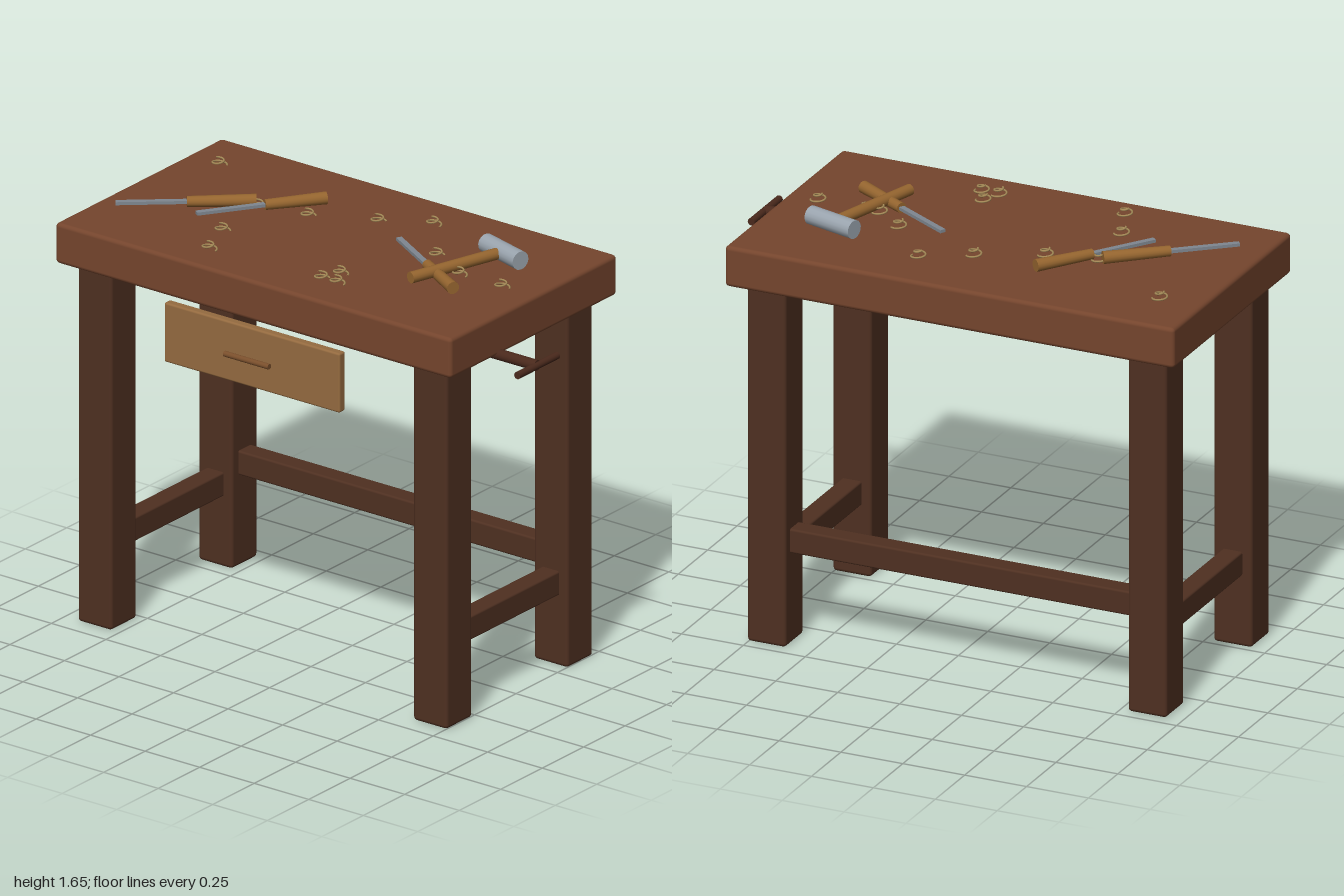
import * as THREE from 'three';
import { RoundedBoxGeometry } from 'three/addons/geometries/RoundedBoxGeometry.js';

const mat = (name, color) => {
  const m = new THREE.MeshStandardMaterial({ color });
  m.name = name;
  return m;
};

export function createModel() {
  const bench = new THREE.Group();
  bench.name = 'workbench';
  const topWood = mat('reddish top wood', 0x75452d);
  const darkWood = mat('dark frame wood', 0x4f3021);
  const drawerWood = mat('light drawer wood', 0x956b40);
  const handleWood = mat('tool handle wood', 0x95652f);
  const pullWood = mat('drawer pull wood', 0x7a4f2c);
  const viseWood = mat('vise wood', 0x4a291c);
  const steel = mat('pale steel', 0x9aa4ae);
  const blade = mat('blade steel', 0x7f8790);
  const shavingWood = mat('wood shaving', 0xa88c58);
  const V = (x, y, z) => new THREE.Vector3(x, y, z);

  const add = (name, geo, material, parent = bench) => {
    const m = new THREE.Mesh(geo, material);
    m.name = name;
    parent.add(m);
    return m;
  };

  // Softly bevelled board given by its minimum and maximum corners
  const board = (name, a, b, material, r = 0.014) => {
    const s = b.map((v, i) => v - a[i]);
    const m = add(name, new RoundedBoxGeometry(...s, 2, r), material);
    m.position.set(...b.map((v, i) => (v + a[i]) / 2));
    return m;
  };

  // Turned rod between two points
  const rod = (name, a, b, r, material, parent = bench, rEnd = r) => {
    const d = b.clone().sub(a);
    const m = add(name, new THREE.CylinderGeometry(rEnd, r, d.length(), 16), material, parent);
    m.position.copy(a).add(b).multiplyScalar(0.5);
    m.quaternion.setFromUnitVectors(V(0, 1, 0), d.normalize());
    return m;
  };

  // Table top
  board('tableTop', [-1, 1.42, -0.525], [0.815, 1.58, 0.48], topWood, 0.016);

  // Four legs and a low side rail between each pair
  for (const [side, x] of [['right', -0.86], ['left', 0.678]]) {
    for (const [end, z] of [['Front', 0.348], ['Back', -0.38]]) {
      board(side + end + 'Leg', [x - 0.078, 0, z - 0.078], [x + 0.078, 1.422, z + 0.078], darkWood);
    }
    board(side + 'Rail', [x - 0.04, 0.28, -0.32], [x + 0.04, 0.375, 0.29], darkWood, 0.008);
  }
  board('backRail', [-0.8, 0.362, -0.42], [0.62, 0.457, -0.34], darkWood, 0.008);

  // Drawer front with a round pull
  board('drawerFront', [-0.495, 1.16, 0.45], [0.31, 1.395, 0.486], drawerWood, 0.008);
  rod('drawerPull', V(-0.195, 1.278, 0.514), V(0.01, 1.278, 0.514), 0.011, pullWood);

  // Vise screw with its cross bar
  rod('viseScrew', V(0.78, 1.42, 0.182), V(0.985, 1.42, 0.182), 0.021, viseWood);
  rod('viseBar', V(0.985, 1.42, 0.062), V(0.985, 1.42, 0.302), 0.014, viseWood);

  // Chisels: [handle end x z, ferrule x z, tip x z]
  const chisels = [
    [-0.505, -0.085, -0.7, 0.078, -0.9, 0.245],
    [-0.315, -0.257, -0.455, -0.07, -0.605, 0.145],
    [0.567, 0.139, 0.358, 0.02, 0.128, -0.112],
  ];
  chisels.forEach(([ax, az, bx, bz, cx, cz], i) => {
    const chisel = new THREE.Group();
    chisel.name = 'chisel' + (i + 1);
    bench.add(chisel);
    const y = 1.606;
    rod('chiselHandle', V(ax, y, az), V(bx, y, bz), 0.024, handleWood, chisel, 0.02);
    const len = Math.hypot(cx - bx, cz - bz);
    const m = add('chiselBlade', new THREE.BoxGeometry(0.022, 0.012, len), blade, chisel);
    m.position.set((bx + cx) / 2, y, (bz + cz) / 2);
    m.rotation.y = Math.atan2(cx - bx, cz - bz);
  });

  // Mallet
  const mallet = new THREE.Group();
  mallet.name = 'mallet';
  bench.add(mallet);
  rod('malletHandle', V(0.396, 1.614, 0.171), V(0.514, 1.614, -0.215), 0.022, handleWood, mallet);
  rod('malletHead', V(0.417, 1.615, -0.257), V(0.62, 1.615, -0.198), 0.036, steel, mallet);

  // Curled wood shavings scattered on the top
  const curl = [];
  for (let i = 0; i <= 20; i++) {
    const t = i / 20, a = 0.3 + t * Math.PI * 3, r = 0.031 - 0.018 * t;
    curl.push(V(Math.cos(a) * r, 0.006 + 0.028 * t, -Math.sin(a) * r));
  }
  const curlGeo = new THREE.TubeGeometry(new THREE.CatmullRomCurve3(curl), 44, 0.004, 5);
  const spots = [
    [-0.84, -0.3], [-0.053, -0.225], [0.123, -0.326], [-0.289, -0.112], [-0.455, 0.187],
    [-0.39, 0.353], [0.31, -0.1], [0.68, -0.005], [0.134, 0.25], [0.107, 0.326],
    [0.176, 0.326], [-0.487, -0.07], [0.43, -0.01], [0.485, -0.005],
  ];
  spots.forEach(([x, z], i) => {
    const m = add('shaving' + (i + 1), curlGeo, shavingWood);
    m.position.set(x, 1.582, z);
    m.rotation.y = Math.sin(i * 2.3) * 0.5;
  });

  return bench;
}
